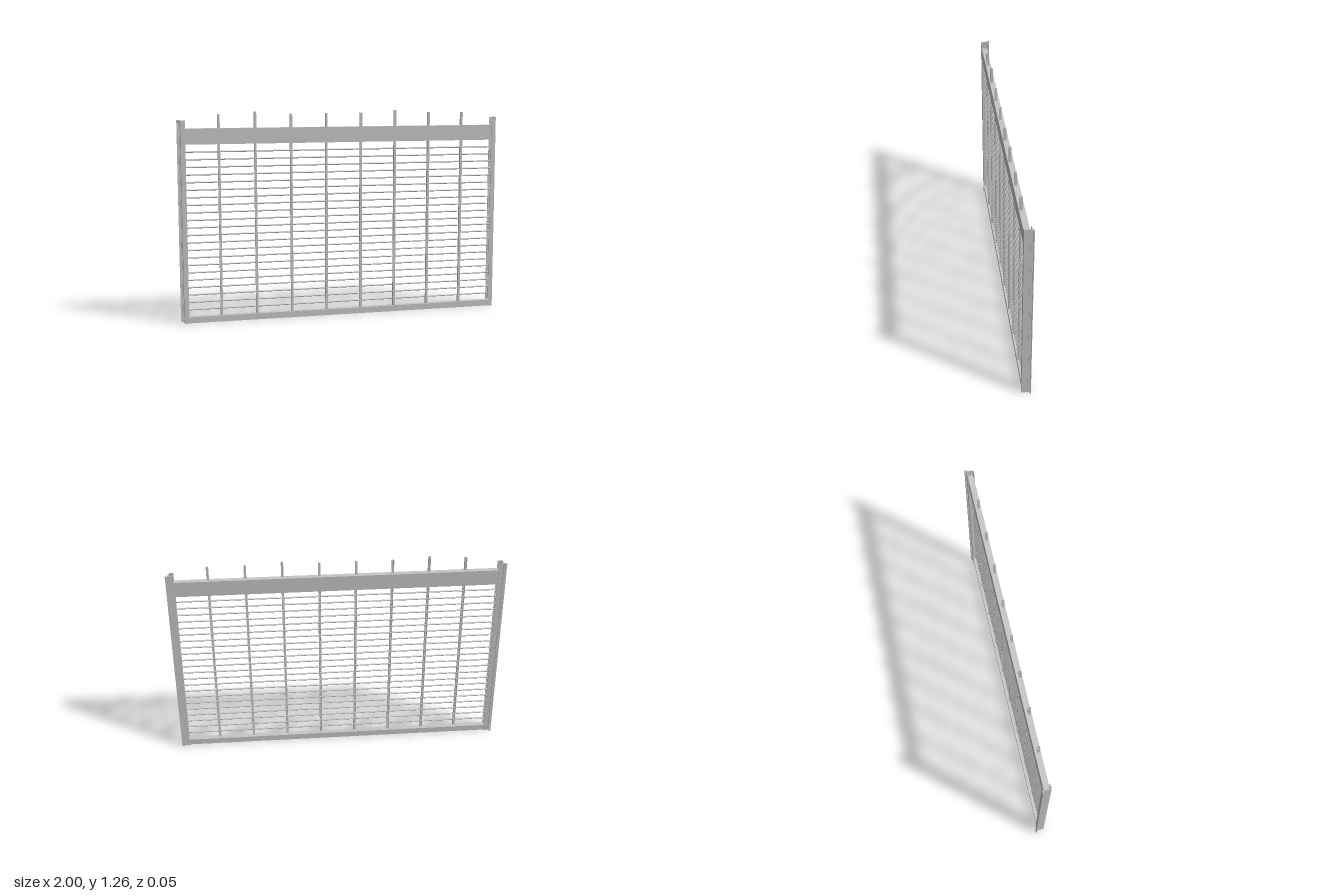
import * as THREE from 'three';

const steel = new THREE.MeshStandardMaterial({ color: 0xc6c6c6, side: THREE.DoubleSide });
steel.name = 'light grey steel';

function add(parent, name, geometry) {
  const mesh = new THREE.Mesh(geometry, steel);
  mesh.name = name;
  parent.add(mesh);
  return mesh;
}

// Box given by its limits on each axis
function box(parent, name, x0, x1, y0, y1, z0, z1) {
  const mesh = add(parent, name, new THREE.BoxGeometry(x1 - x0, y1 - y0, z1 - z0));
  mesh.position.set((x0 + x1) / 2, (y0 + y1) / 2, (z0 + z1) / 2);
}

// Upright extrusion of a plan outline given as [x, z] points
function upright(parent, name, plan, y0, y1) {
  const shape = new THREE.Shape(plan.map(([x, z]) => new THREE.Vector2(x, -z)));
  const geometry = new THREE.ExtrudeGeometry(shape, { depth: y1 - y0, bevelEnabled: false });
  geometry.rotateX(-Math.PI / 2);
  const mesh = add(parent, name, geometry);
  mesh.position.y = y0;
  return mesh;
}

export function createModel() {
  const gate = new THREE.Group();
  gate.name = 'rollingGrille';

  // Side guides: an inward-facing channel with a wall angle behind it
  for (const s of [-1, 1]) {
    const guide = new THREE.Group();
    guide.name = s > 0 ? 'leftGuide' : 'rightGuide';
    const mirror = (points) => points.map(([x, z]) => [s * x, z]);
    upright(guide, 'guideChannel', mirror([
      [0.954, 0.027], [0.982, 0.027], [0.982, -0.017], [0.954, -0.017],
      [0.954, -0.013], [0.978, -0.013], [0.978, 0.023], [0.954, 0.023],
    ]), 0, 1.21);
    upright(guide, 'wallAngle', mirror([
      [0.982, -0.008], [0.986, -0.008], [0.986, -0.021], [1, -0.021],
      [1, -0.025], [0.982, -0.025],
    ]), 0, 1.213);
    gate.add(guide);
  }

  // Top and bottom bars, each hollow underneath
  const bars = [['topBar', 1.07, 1.163], ['bottomBar', 0, 0.037]];
  for (const [name, y0, y1] of bars) {
    const bar = new THREE.Group();
    bar.name = name;
    box(bar, 'barFront', -0.978, 0.978, y0, y1, 0.018, 0.022);
    box(bar, 'barBack', -0.978, 0.978, y0, y1, -0.012, -0.008);
    box(bar, 'barTop', -0.978, 0.978, y1 - 0.004, y1, -0.008, 0.018);
    gate.add(bar);
  }

  // Horizontal rods
  const rods = new THREE.Group();
  rods.name = 'rods';
  const rodGeometry = new THREE.CylinderGeometry(0.0045, 0.0045, 1.95, 8);
  rodGeometry.rotateZ(Math.PI / 2);
  for (let i = 0; i < 22; i++) {
    add(rods, 'rod', rodGeometry).position.set(0, 0.081 + i * 0.045, 0.009);
  }
  gate.add(rods);

  // Vertical link strips, U-shaped and open at the back
  const links = new THREE.Group();
  links.name = 'linkStrips';
  const linkPlan = [
    [-0.007, 0.017], [0.007, 0.017], [0.007, 0.002], [0.0045, 0.002],
    [0.0045, 0.0145], [-0.0045, 0.0145], [-0.0045, 0.002], [-0.007, 0.002],
  ];
  const tops = [1.246, 1.26, 1.246, 1.246, 1.246, 1.26, 1.246, 1.246];
  tops.forEach((top, i) => {
    upright(links, 'linkStrip', linkPlan, 0.03, top).position.x = (i - 3.5) * 0.2165;
  });
  gate.add(links);

  return gate;
}
